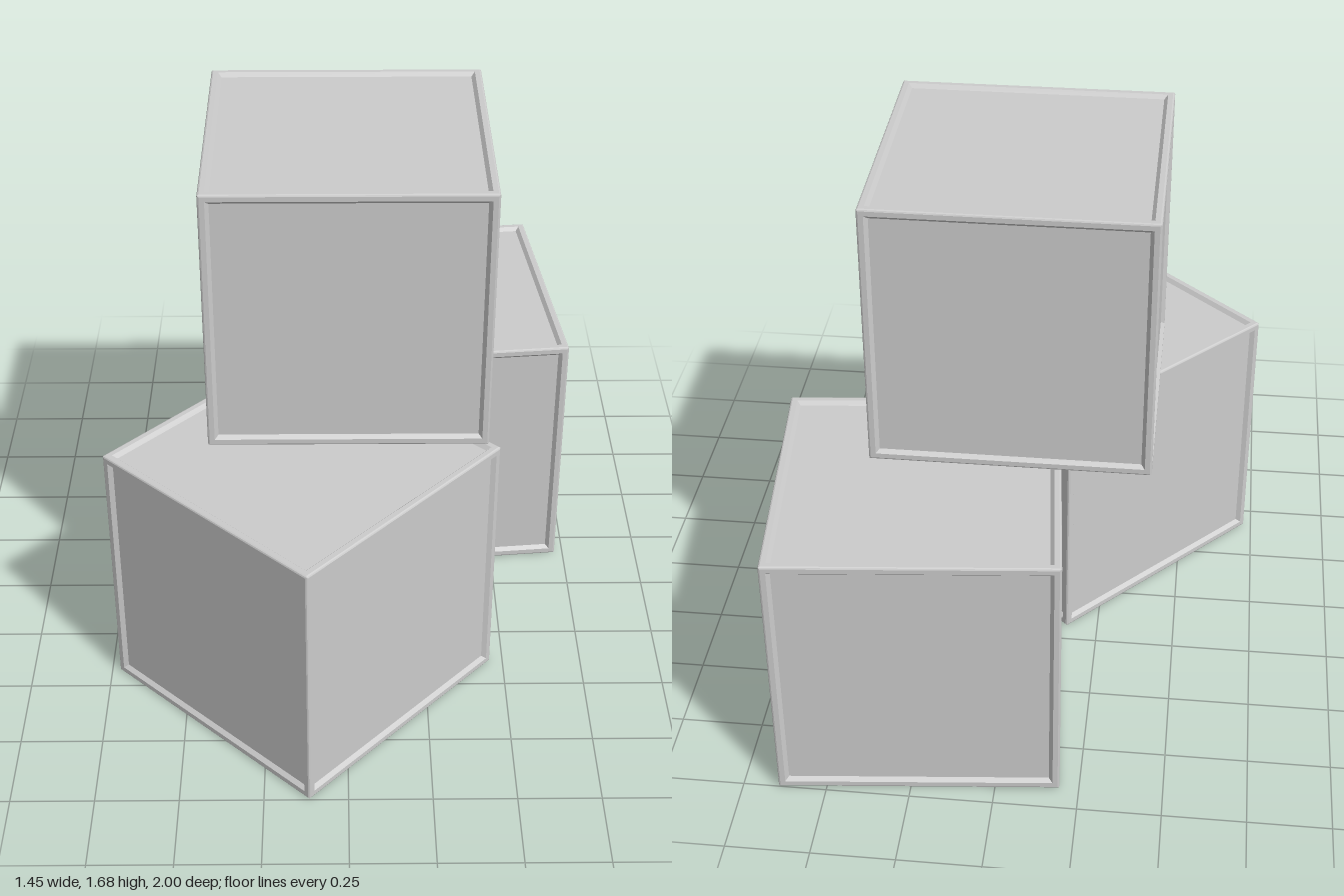
import * as THREE from 'three';

const SIZE = 0.84;
const H = SIZE / 2;

// Concentric square steps of one face: [half width, distance from cube centre]
const STEPS = [
  [H - 0.002, H - 0.002], // softened outer edge
  [H - 0.006, H],         // start of the raised rim
  [H - 0.021, H],         // end of the raised rim
  [H - 0.032, H - 0.012], // foot of the sloped lip
];

// One square face looking along +z: rim, sloped lip and recessed panel
function faceGeometry() {
  const pos = [];
  const corner = ([s, d], i) => [[-s, -s, d], [s, -s, d], [s, s, d], [-s, s, d]][i % 4];
  const quad = (a, b, c, d) => pos.push(...a, ...b, ...c, ...a, ...c, ...d);
  for (let k = 0; k < STEPS.length - 1; k++) {
    for (let i = 0; i < 4; i++) {
      quad(corner(STEPS[k], i), corner(STEPS[k], i + 1), corner(STEPS[k + 1], i + 1), corner(STEPS[k + 1], i));
    }
  }
  const panel = STEPS[STEPS.length - 1];
  quad(corner(panel, 0), corner(panel, 1), corner(panel, 2), corner(panel, 3));
  const geo = new THREE.BufferGeometry();
  geo.setAttribute('position', new THREE.Float32BufferAttribute(pos, 3));
  geo.computeVertexNormals();
  return geo;
}

// A crate made of six identical framed faces
function makeCrate(name, face, material, x, y, z, turn) {
  const crate = new THREE.Group();
  crate.name = name;
  const sides = [
    ['frontPanel', 0, 0], ['leftPanel', 0, Math.PI / 2], ['backPanel', 0, Math.PI],
    ['rightPanel', 0, -Math.PI / 2], ['topPanel', -Math.PI / 2, 0], ['bottomPanel', Math.PI / 2, 0],
  ];
  for (const [label, rx, ry] of sides) {
    const mesh = new THREE.Mesh(face, material);
    mesh.name = label;
    mesh.rotation.set(rx, ry, 0);
    crate.add(mesh);
  }
  crate.position.set(x, y, z);
  crate.rotation.y = turn;
  return crate;
}

export function createModel() {
  const model = new THREE.Group();
  model.name = 'crateStack';
  const material = new THREE.MeshStandardMaterial({ color: 0xcccccc, flatShading: true });
  const face = faceGeometry();
  model.add(
    makeCrate('frontCrate', face, material, -0.133, H, 0.406, 0.815),
    makeCrate('backCrate', face, material, 0.265, H, -0.543, 0.094),
    makeCrate('topCrate', face, material, 0.005, H + SIZE, -0.045, 0),
  );
  return model;
}
